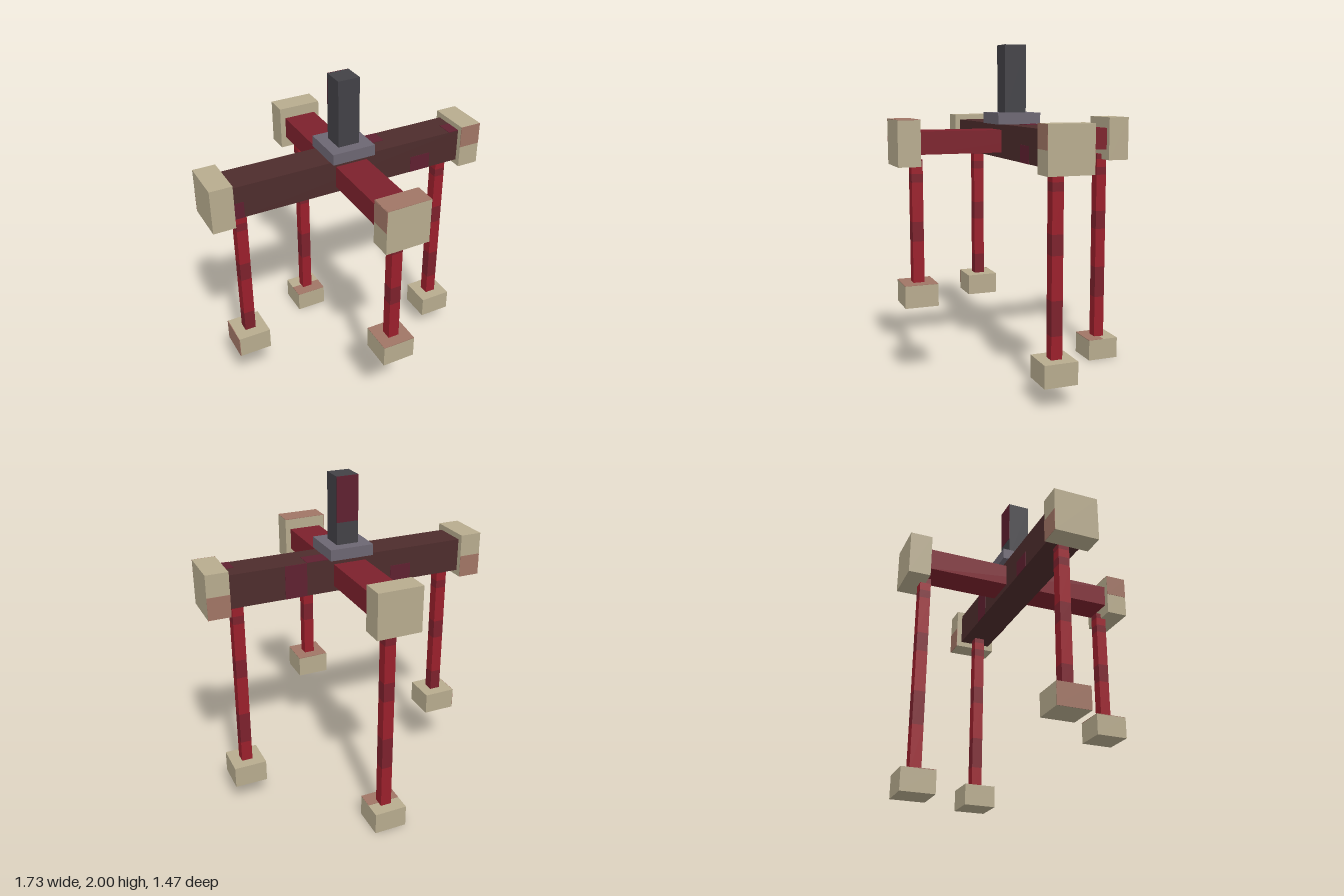
import * as THREE from 'three';

const mat = (name, color) => {
  const m = new THREE.MeshStandardMaterial({ color });
  m.name = name;
  return m;
};

export function createModel() {
  const tan = mat('tan', 0xb7ab8e), clay = mat('clay', 0xa07565);
  const red = mat('red', 0x9a1f2b), darkRed = mat('dark red', 0x7c212c);
  const brown = mat('dark brown', 0x4d2c2c), plum = mat('plum', 0x5f2030);
  const grey = mat('grey', 0x6c6672), charcoal = mat('charcoal', 0x424146);

  const model = new THREE.Group();
  model.name = 'hangingFrame';

  // Box given by its extents along each axis
  const box = (name, material, [x0, x1], [y0, y1], [z0, z1], parent = model) => {
    const mesh = new THREE.Mesh(new THREE.BoxGeometry(x1 - x0, y1 - y0, z1 - z0), material);
    mesh.position.set((x0 + x1) / 2, (y0 + y1) / 2, (z0 + z1) / 2);
    mesh.name = name;
    parent.add(mesh);
    return mesh;
  };
  const U = 1 / 15; // modelling unit
  const around = (c, h) => [c - h, c + h];
  const skin = (v) => around(v, 0.002); // thin plate lying on a surface

  // Crossed beams, hub and post
  box('wideBeam', brown, [-11 * U, 11 * U], [20 * U, 23 * U], [-0.1, 0.1]);
  box('crossBeam', darkRed, [-0.1, 0.1], [20.5 * U, 22.5 * U], [-0.6, 0.6]);
  box('hub', grey, around(0, 2 * U), [23 * U, 24 * U], around(0, 2 * U));
  box('post', charcoal, around(0, U), [24 * U, 2], around(0, U));

  // End caps
  for (const s of [-1, 1]) {
    box('sideCap', tan, around(s * 12 * U, U), [19.5 * U, 23.5 * U], around(0, 2 * U));
    box('endCap', tan, around(0, 2 * U), [19.5 * U, 23.5 * U], around(s * 10 * U, U));
  }

  // Legs with dark bands, each ending in a block foot at its own height
  const bands = [[1.333, darkRed], [1.3, red], [1.25, darkRed], [1.2, red], [0.967, darkRed],
    [0.85, red], [0.6, darkRed], [0.4, red], [0, red]];
  const legs = [
    ['rightLeg', -10 * U, 0, 5 * U], ['leftLeg', 10 * U, 0, 2 * U],
    ['frontLeg', 0, 0.6, 7 * U], ['backLeg', 0, -0.6, 0],
  ];
  for (const [name, x, z, base] of legs) {
    const leg = new THREE.Group();
    leg.name = name;
    model.add(leg);
    const bottom = base + 2 * U;
    for (let i = 0; i < bands.length - 1; i++) {
      const top = bands[i][0], low = Math.max(bands[i + 1][0], bottom);
      if (top - low > 0.005) box('legBand', bands[i][1], around(x, U / 2), [low, top], around(z, U / 2), leg);
    }
    box('foot', tan, around(x, 0.1), [base, bottom], around(z, 0.1), leg);
  }

  // Worn patches on the beams and post
  const low = [20 * U, 21.5 * U];
  box('beamPatch', plum, [0.4, 0.533], low, skin(0.1));
  box('beamPatch', plum, [-0.733, -0.667], low, skin(0.1));
  box('beamPatch', plum, [0.267, 0.4], [20 * U, 23 * U], skin(-0.1));
  box('beamPatch', plum, [-0.4, -0.267], low, skin(-0.1));
  box('beamPatch', plum, [0.133, 0.267], skin(23 * U), [-0.1, 0]);
  box('beamPatch', plum, [0.667, 0.733], skin(23 * U), [0, 0.1]);
  box('postPatch', plum, around(0, U), [1.733, 2], skin(-U));

  // Worn patches on the caps
  box('capPatch', clay, [11 * U, 13 * U], [21.5 * U, 23.5 * U], skin(2 * U));
  for (const s of [-1, 1]) {
    box('capPatch', clay, around(s * 12 * U, U), [19.5 * U, 21.5 * U], skin(-2 * U));
  }
  box('capPatch', clay, around(0, 2 * U), skin(23.5 * U), [9 * U, 11 * U]);
  box('capPatch', clay, skin(-2 * U), [21.5 * U, 23.5 * U], [9 * U, 11 * U]);

  // Worn patches on the feet
  box('footPatch', clay, around(0, 0.1), skin(9 * U), [0.5, 0.7]);
  box('footPatch', clay, around(0, 0.1), skin(2 * U), [-0.6, -0.5]);
  box('footPatch', clay, skin(-10 * U - 0.1), [5 * U, 7 * U], around(0, 0.1));

  return model;
}
